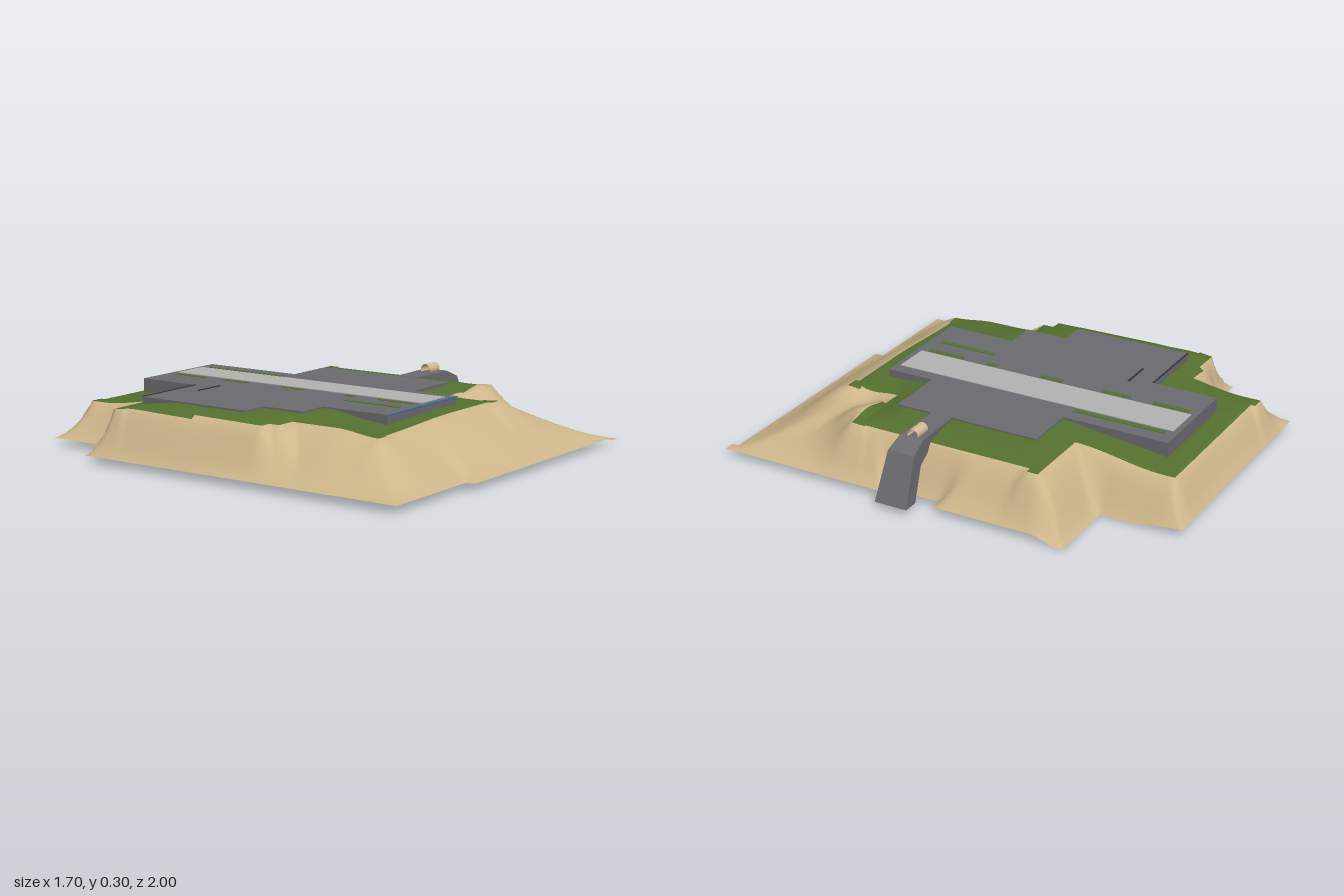
import * as THREE from 'three';

const material = (name, color) => {
  const m = new THREE.MeshStandardMaterial({ color, side: THREE.DoubleSide });
  m.name = name;
  return m;
};
const lerp = THREE.MathUtils.lerp, smooth = THREE.MathUtils.smoothstep;

// Plan outlines as [x, z] corners
const LAND = [[-0.65, -1], [0.46, -1], [0.46, -0.63], [0.78, -0.63], [0.78, -0.04], [0.73, -0.04], [0.73, 0.21],
  [0.77, 0.21], [0.77, 1], [0.72, 1], [0.72, 0.97], [-0.36, 0.97], [-0.36, 0.93], [-0.85, 0.93],
  [-0.85, -0.64], [-0.69, -0.64], [-0.69, -0.75], [-0.65, -0.75]];
const GRASS = [[-0.49, -0.92], [-0.43, -0.92], [-0.43, -0.9], [0.33, -0.9], [0.33, -0.45], [0.65, -0.45],
  [0.65, -0.4], [0.62, -0.4], [0.62, 0.38], [0.63, 0.38], [0.63, 0.44], [0.4, 0.44], [0.4, 0.42], [0.31, 0.42],
  [0.31, 0.6], [0.33, 0.6], [0.33, 0.66], [0.27, 0.66], [0.27, 0.64], [-0.5, 0.64], [-0.5, 0.65],
  [-0.56, 0.65], [-0.56, 0.23], [-0.65, 0.23], [-0.65, 0.18], [-0.7, 0.18], [-0.72, -0.52],
  [-0.73, -0.52], [-0.73, -0.58], [-0.49, -0.6]];
const DECK = [[-0.27, -0.81], [0.21, -0.81], [0.21, -0.33], [0.44, -0.33], [0.44, 0.335], [0.165, 0.335],
  [0.165, 0.555], [-0.36, 0.555], [-0.36, 0.235], [-0.5, 0.235], [-0.5, 0.035], [-0.62, 0.035],
  [-0.62, -0.515], [-0.27, -0.515]];
const DECK_Y = 0.265;

const edges = (poly) => poly.map((p, i) => [p, poly[(i + 1) % poly.length]]);

function inside(poly, x, z) {
  let hit = false;
  for (const [[ax, az], [bx, bz]] of edges(poly)) {
    if ((az > z) !== (bz > z) && x < ax + ((z - az) / (bz - az)) * (bx - ax)) hit = !hit;
  }
  return hit;
}

function distance(poly, x, z) {
  let best = Infinity;
  for (const [[ax, az], [bx, bz]] of edges(poly)) {
    const dx = bx - ax, dz = bz - az;
    const t = THREE.MathUtils.clamp(((x - ax) * dx + (z - az) * dz) / (dx * dx + dz * dz), 0, 1);
    best = Math.min(best, Math.hypot(x - ax - t * dx, z - az - t * dz));
  }
  return best;
}

// Ground beside the deck drops towards both runway ends
const deckFoot = (z) => (z < 0
  ? lerp(0.258, 0.2, THREE.MathUtils.clamp((-z - 0.33) / 0.48, 0, 1))
  : lerp(0.258, 0.215, THREE.MathUtils.clamp((z - 0.3) / 0.255, 0, 1)));

function groundHeight(x, z) {
  const rim = lerp(0.232, 0.185, smooth(-z, 0.45, 0.85)) - 0.02 * smooth(z, 0.45, 0.65) * smooth(-x, 0, 0.55);
  const dGrass = distance(GRASS, x, z);
  if (inside(GRASS, x, z)) {
    const u = dGrass < 1e-6 ? 1 : distance(DECK, x, z) / (distance(DECK, x, z) + dGrass);
    return lerp(Math.max(deckFoot(z), rim), rim, u * u);
  }
  const dEdge = distance(LAND, x, z);
  const t = dEdge / (dEdge + dGrass + 1e-6);
  const base = 0.036 - 0.033 * smooth(-z, 0.48, 0.62) * smooth(x, 0.3, 0.5) * (1 - smooth(-z, 0.75, 1));
  const bump = 0.035 * Math.exp(-((x - 0.52) ** 2 + (z - 0.5) ** 2) / 0.008)
    - 0.02 * Math.exp(-((x - 0.36) ** 2 + (z - 0.54) ** 2) / 0.004);
  const ripple = 0.02 * Math.sin(11 * x + 1) * Math.sin(9 * z) * t * (1 - t);
  return lerp(base, rim, 0.55 * t + 0.45 * smooth(t, 0, 1)) + Math.min(1, 4 * t) * bump + ripple;
}

// Grid lines pass through every outline corner, so the borders stay crisp
function gridLines(axis) {
  const keys = [...new Set([...LAND, ...GRASS, ...DECK].map((p) => p[axis]))].sort((a, b) => a - b);
  const lines = [keys[0]];
  for (let i = 1; i < keys.length; i++) {
    const n = Math.ceil((keys[i] - keys[i - 1]) / 0.022);
    for (let k = 1; k <= n; k++) lines.push(lerp(keys[i - 1], keys[i], k / n));
  }
  return lines;
}

function terrainGeometry() {
  const xs = gridLines(0), zs = gridLines(1), w = xs.length;
  const positions = [], sand = [], grass = [];
  for (const z of zs) for (const x of xs) positions.push(x, groundHeight(x, z), z);
  for (let j = 0; j < zs.length - 1; j++) {
    for (let i = 0; i < w - 1; i++) {
      const x = (xs[i] + xs[i + 1]) / 2, z = (zs[j] + zs[j + 1]) / 2;
      if (!inside(LAND, x, z) || inside(DECK, x, z)) continue;
      const a = j * w + i, b = a + w;
      (inside(GRASS, x, z) ? grass : sand).push(a, b, a + 1, a + 1, b, b + 1);
    }
  }
  const geo = new THREE.BufferGeometry();
  geo.setAttribute('position', new THREE.Float32BufferAttribute(positions, 3));
  geo.setIndex([...sand, ...grass]);
  geo.addGroup(0, sand.length, 0);
  geo.addGroup(sand.length, grass.length, 1);
  geo.computeVertexNormals();
  return geo;
}

function quads(list) {
  const positions = [];
  for (const [a, b, c, d] of list) positions.push(...a, ...b, ...c, ...a, ...c, ...d);
  const geo = new THREE.BufferGeometry();
  geo.setAttribute('position', new THREE.Float32BufferAttribute(positions, 3));
  geo.computeVertexNormals();
  return geo;
}

export function createModel() {
  const model = new THREE.Group();
  model.name = 'hilltopAirfield';
  const sand = material('sand', 0xcdb68a);
  const grass = material('grass', 0x55702f);
  const concrete = material('concrete', 0x6c6b70);
  const pale = material('runwayGrey', 0xb4b4b4);
  const dark = material('darkGrey', 0x38383b);
  const blue = material('blue', 0x2a6fb5);
  const tan = material('tan', 0xd2bd94);

  const add = (name, geo, mat, x = 0, y = 0, z = 0) => {
    const mesh = new THREE.Mesh(geo, mat);
    mesh.name = name;
    mesh.position.set(x, y, z);
    model.add(mesh);
    return mesh;
  };
  // Thin painted plate lying on the deck
  const plate = (name, mat, x0, x1, z0, z1, h = 0.002) =>
    add(name, new THREE.BoxGeometry(x1 - x0, h, z1 - z0), mat, (x0 + x1) / 2, DECK_Y + h / 2, (z0 + z1) / 2);

  add('terrain', terrainGeometry(), [sand, grass]);

  // Deck top and the walls hanging from its border
  const shape = new THREE.Shape(DECK.map(([x, z]) => new THREE.Vector2(x, -z)));
  add('deck', new THREE.ShapeGeometry(shape).rotateX(-Math.PI / 2), concrete, 0, DECK_Y, 0);
  add('deckWalls', quads(edges(DECK).map(([[ax, az], [bx, bz]]) => [
    [ax, DECK_Y, az], [bx, DECK_Y, bz], [bx, deckFoot(bz) - 0.008, bz], [ax, deckFoot(az) - 0.008, az],
  ])), concrete);
  add('frontBand', new THREE.BoxGeometry(0.525, 0.005, 0.002), blue, -0.0975, DECK_Y - 0.003, 0.556);

  // Runway, grass strips and dark deck lines
  plate('runway', pale, -0.067, 0.108, -0.785, 0.53, 0.003);
  const strips = [[-0.105, -0.765, -0.6], [-0.105, -0.49, -0.36], [-0.105, -0.165, -0.06], [-0.105, 0.16, 0.21],
    [-0.105, 0.33, 0.505], [-0.205, 0.23, 0.505], [0.12, -0.76, -0.34]];
  for (const [x, z0, z1] of strips) plate('grassStrip', grass, x, x + 0.024, z0, z1);
  plate('deckLine', dark, -0.375, -0.23, -0.415, -0.407, 0.004);
  plate('deckEdgeLine', dark, -0.62, -0.27, -0.515, -0.508, 0.003);

  // Chute: cross-sections [top x, top y, lower x, lower y, half width]
  const sections = [[0.44, 0.267, 0.44, 0.235, 0.05], [0.68, 0.267, 0.64, 0.2, 0.055],
    [0.76, 0.232, 0.71, 0.17, 0.062], [0.85, 0.032, 0.78, 0.032, 0.075]];
  const rings = sections.map(([tx, ty, lx, ly, w]) => [
    [tx, ty, 0.118 - w], [tx, ty, 0.118 + w], [lx, ly, 0.118 + w], [lx, ly, 0.118 - w]]);
  const faces = [];
  for (let i = 0; i < 3; i++) {
    for (let k = 0; k < 4; k++) {
      const n = (k + 1) % 4;
      faces.push([rings[i][k], rings[i][n], rings[i + 1][n], rings[i + 1][k]]);
    }
  }
  faces.push([...rings[3]]);
  add('chute', quads(faces), concrete);

  // Small open arched shelter at the head of the chute
  add('shelter', new THREE.CylinderGeometry(0.025, 0.025, 0.08, 20, 1, true).rotateZ(Math.PI / 2),
    tan, 0.635, 0.277, 0.115);
  return model;
}
